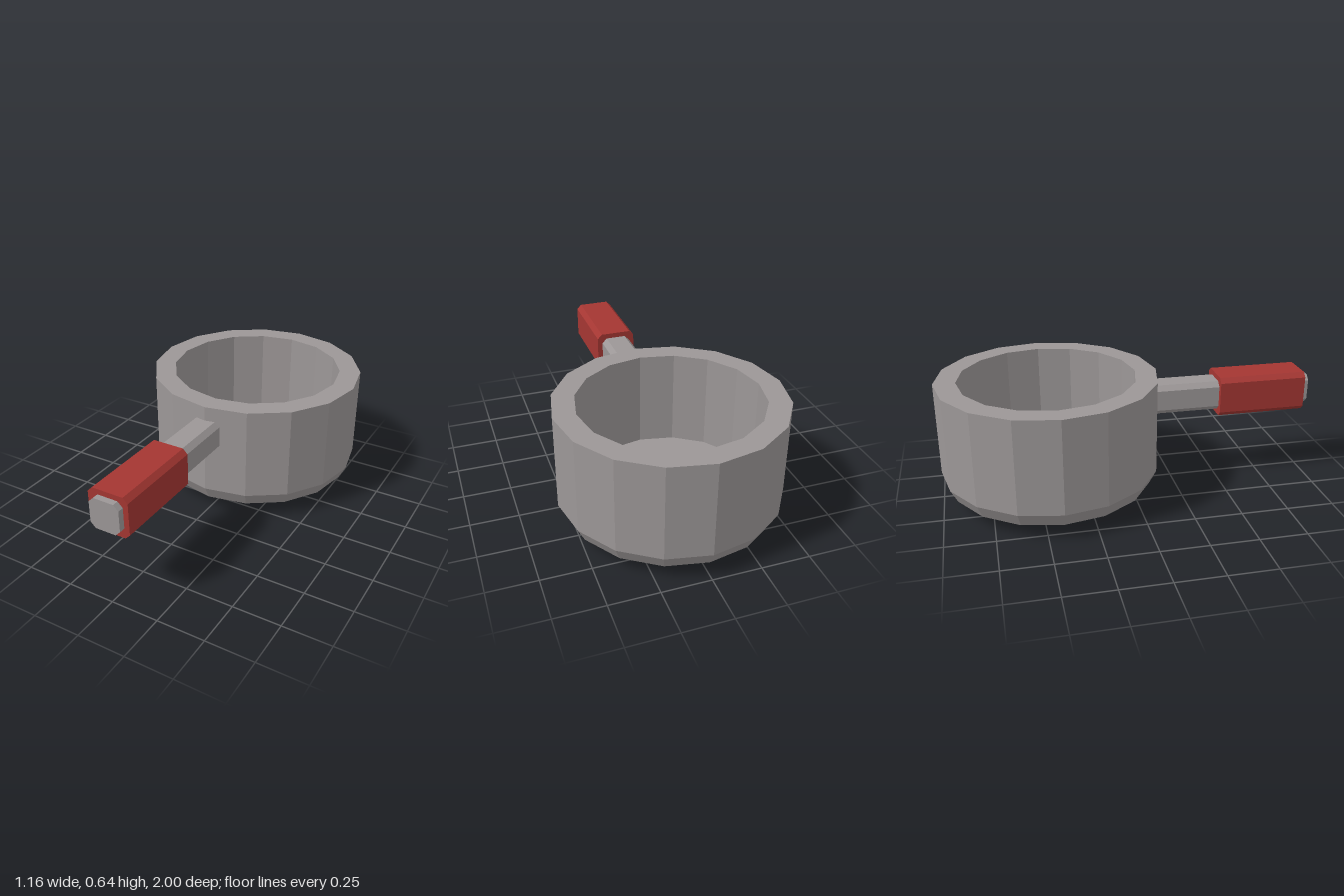
import * as THREE from 'three';

const grey = new THREE.MeshStandardMaterial({ color: 0x9c9797, flatShading: true });
const red = new THREE.MeshStandardMaterial({ color: 0xa43632, flatShading: true });

// Square bar with chamfered long edges, running along z
function chamferedBar(name, width, chamfer, z0, z1, material) {
  const h = width / 2, c = h - chamfer;
  const outline = [[h, -c], [h, c], [c, h], [-c, h], [-h, c], [-h, -c], [-c, -h], [c, -h]];
  const shape = new THREE.Shape(outline.map(([x, y]) => new THREE.Vector2(x, y)));
  const geometry = new THREE.ExtrudeGeometry(shape, { depth: z1 - z0, bevelEnabled: false });
  const mesh = new THREE.Mesh(geometry, material);
  mesh.name = name;
  mesh.position.set(0, 0.485, z0);
  return mesh;
}

export function createModel() {
  const group = new THREE.Group();
  group.name = 'saucepan';

  // Thick-walled pot: rounded underside, straight wall, flat rim, inner wall and floor
  const profile = [
    [0, 0], [0.3, 0], [0.441, 0.021], [0.541, 0.075], [0.578, 0.148],
    [0.578, 0.642], [0.464, 0.642], [0.464, 0.13], [0, 0.13],
  ].map(([r, y]) => new THREE.Vector2(r, y));
  const pot = new THREE.Mesh(new THREE.LatheGeometry(profile, 16), grey);
  pot.name = 'pot';
  pot.position.z = -0.422;
  group.add(pot);

  // Handle bar set into the wall, with a thicker grip around it
  group.add(chamferedBar('handle', 0.16, 0.026, 0.12, 1, grey));
  group.add(chamferedBar('grip', 0.215, 0.025, 0.49, 0.968, red));

  return group;
}
